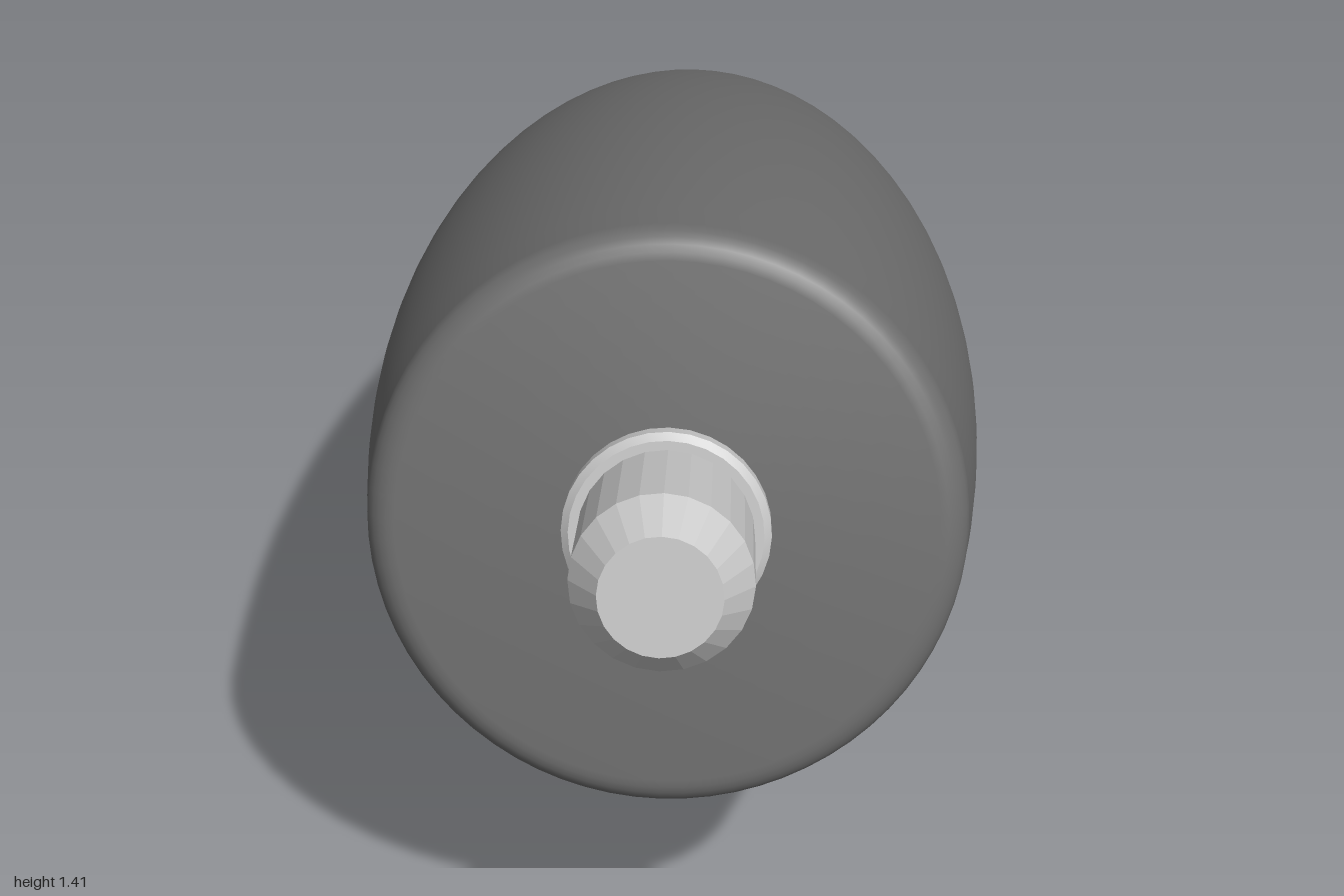
import * as THREE from 'three';
import { toCreasedNormals } from 'three/addons/utils/BufferGeometryUtils.js';

// Turned part: profile of [radius, height] pairs from bottom to top
function turned(name, profile, sides, material, crease) {
  const points = profile.map(([r, y]) => new THREE.Vector2(r, y));
  const geometry = toCreasedNormals(new THREE.LatheGeometry(points, sides), crease);
  const mesh = new THREE.Mesh(geometry, material);
  mesh.name = name;
  return mesh;
}

export function createModel() {
  const rubber = new THREE.MeshStandardMaterial({ color: 0x6c6c6c });
  rubber.name = 'darkGrey';
  const steel = new THREE.MeshStandardMaterial({ color: 0xc6c6c6 });
  steel.name = 'lightGrey';

  const group = new THREE.Group();
  group.name = 'barrelRoller';
  const roller = new THREE.Group();
  roller.name = 'tiltedRoller';

  // Bulging barrel with rounded rims and flat ends
  const END = 0.95, FILLET = 0.05, R_MID = 0.565, R_END = 0.493;
  const half = [];
  for (let i = 0; i <= 12; i++) {
    const t = i / 12;
    half.push([R_MID - (R_MID - R_END) * t * t, t * (END - FILLET)]);
  }
  for (let i = 1; i <= 6; i++) {
    const a = (i / 6) * Math.PI / 2;
    half.push([R_END - FILLET + FILLET * Math.cos(a), END - FILLET + FILLET * Math.sin(a)]);
  }
  half.push([0, END]);
  const lower = half.slice(1).reverse().map(([r, y]) => [r, -y]);
  roller.add(turned('barrel', [...lower, ...half], 72, rubber, 0.5));

  // Matching shaft end and collar at both ends
  for (const side of [1, -1]) {
    const end = new THREE.Group();
    end.name = side > 0 ? 'frontShaftEnd' : 'backShaftEnd';
    end.add(turned('collar',
      [[0, 0.93], [0.17, 0.93], [0.17, 0.975], [0.158, 0.985], [0, 0.985]], 32, steel, 0.4));
    end.add(turned('shaft',
      [[0, 0.9], [0.143, 0.9], [0.143, 1.21], [0.096, 1.275], [0, 1.275]], 24, steel, 0.2));
    if (side < 0) end.rotation.x = Math.PI;
    roller.add(end);
  }

  // Lay the axis along its diagonal, resting on the ground
  const axis = new THREE.Vector3(0.698, 0.251, 0.67).normalize();
  roller.quaternion.setFromUnitVectors(new THREE.Vector3(0, 1, 0), axis);
  roller.position.y = 0.705;
  group.add(roller);
  return group;
}
